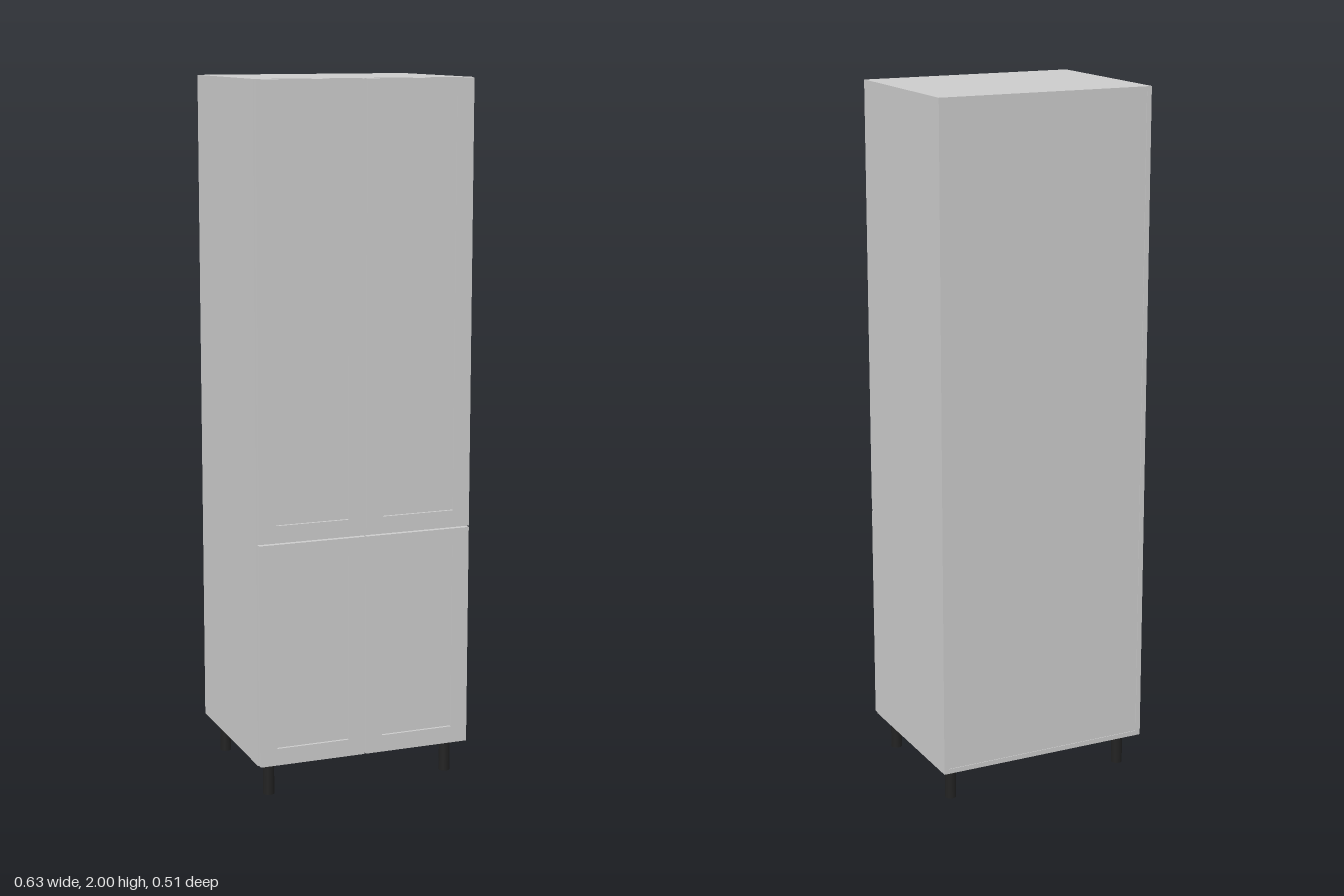
import * as THREE from 'three';

const W = 0.634, BACK = -0.253, CARCASS_FRONT = 0.235, FRONT = 0.253;
const BOTTOM = 0.1, TOP = 2, T = 0.014;

export function createModel() {
  const group = new THREE.Group();
  const grey = new THREE.MeshStandardMaterial({ color: 0xcccccc });
  const black = new THREE.MeshStandardMaterial({ color: 0x222222 });

  const add = (name, geometry, material, x = 0, y = 0, z = 0, parent = group) => {
    const mesh = new THREE.Mesh(geometry, material);
    mesh.name = name;
    mesh.position.set(x, y, z);
    parent.add(mesh);
    return mesh;
  };
  // Box given by its minimum and maximum corners
  const panel = (name, x0, x1, y0, y1, z0, z1, parent) =>
    add(name, new THREE.BoxGeometry(x1 - x0, y1 - y0, z1 - z0), grey,
      (x0 + x1) / 2, (y0 + y1) / 2, (z0 + z1) / 2, parent);

  // Carcass: sides, top, bottom, back and the fixed shelf behind the door joint
  const inner = W / 2 - T;
  panel('leftSide', inner, W / 2, BOTTOM, TOP, BACK, CARCASS_FRONT);
  panel('rightSide', -W / 2, -inner, BOTTOM, TOP, BACK, CARCASS_FRONT);
  panel('topPanel', -inner, inner, TOP - T, TOP, BACK, CARCASS_FRONT);
  panel('bottomPanel', -inner, inner, BOTTOM, BOTTOM + T, BACK, CARCASS_FRONT);
  panel('backPanel', -inner, inner, BOTTOM + T, TOP - T, BACK + 0.002, BACK + 0.008);
  panel('fixedShelf', -inner, inner, 0.733, 0.747, BACK + 0.008, CARCASS_FRONT);

  // Framed door with a recessed centre panel
  const FRAME = 0.049, RECESS = 0.008;
  const door = (name, x0, x1, y0, y1) => {
    const g = new THREE.Group();
    g.name = name;
    const shape = new THREE.Shape([[x0, y0], [x1, y0], [x1, y1], [x0, y1]]
      .map(([x, y]) => new THREE.Vector2(x, y)));
    const a = x0 + FRAME, b = x1 - FRAME, c = y0 + FRAME, d = y1 - FRAME;
    shape.holes.push(new THREE.Path([[a, c], [a, d], [b, d], [b, c]]
      .map(([x, y]) => new THREE.Vector2(x, y))));
    add('doorFrame', new THREE.ExtrudeGeometry(shape,
      { depth: FRONT - CARCASS_FRONT - 0.001, bevelEnabled: false }),
      grey, 0, 0, CARCASS_FRONT + 0.001, g);
    panel('doorPanel', a, b, c, d, CARCASS_FRONT + 0.001, FRONT - RECESS, g);
    group.add(g);
  };
  for (const [side, x0, x1] of [['left', 0.002, 0.315], ['right', -0.315, -0.002]]) {
    door(side + 'UpperDoor', x0, x1, 0.742, TOP - 0.001);
    door(side + 'LowerDoor', x0, x1, BOTTOM + 0.001, 0.738);
  }

  // Four round legs
  const leg = new THREE.CylinderGeometry(0.016, 0.016, BOTTOM, 24);
  for (const x of [-0.272, 0.272])
    for (const z of [-0.195, 0.195]) add('leg', leg, black, x, BOTTOM / 2, z);

  return group;
}
